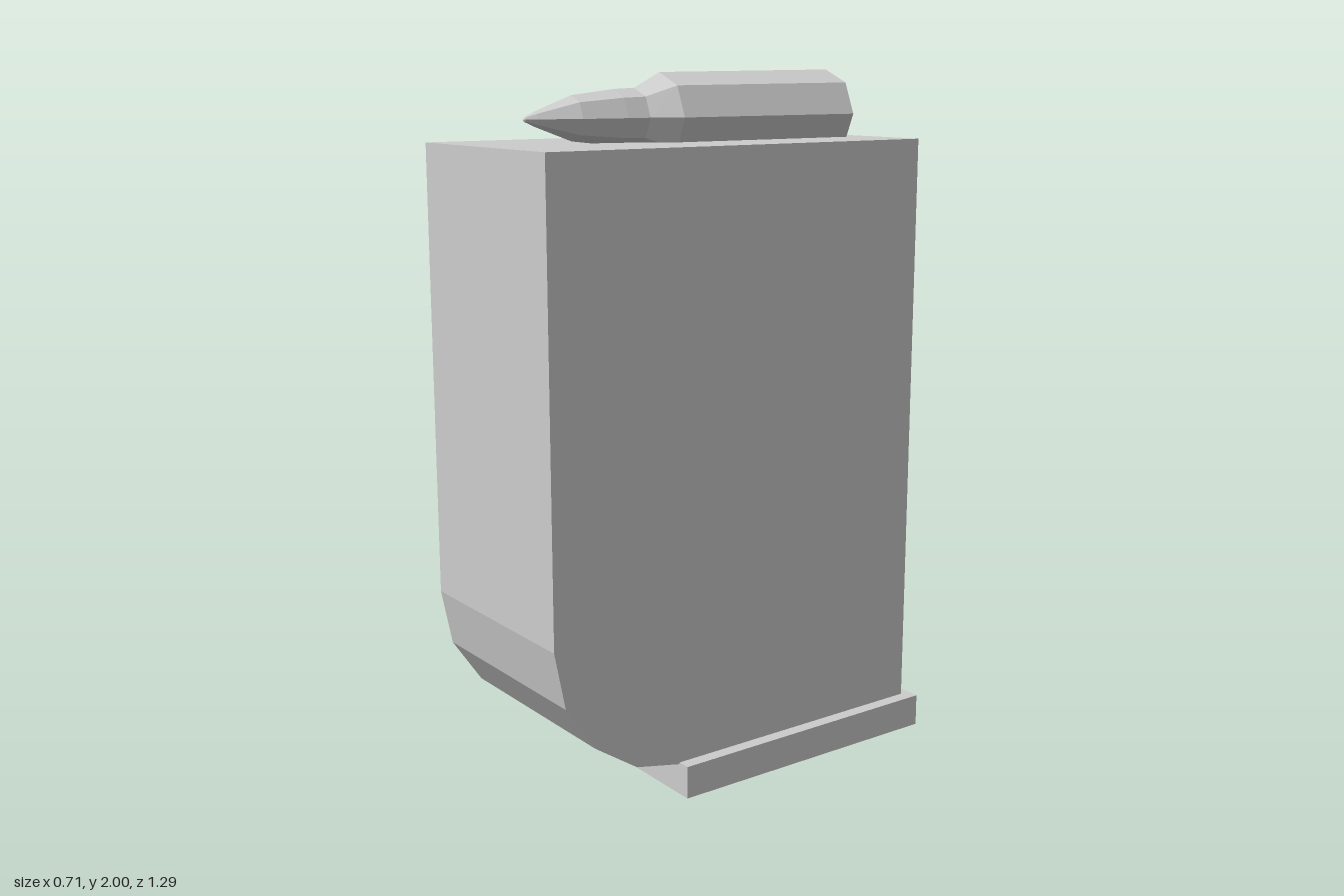
import * as THREE from 'three';

export function createModel() {
  const group = new THREE.Group();
  const grey = new THREE.MeshStandardMaterial({ color: 0xcccccc, flatShading: true });
  grey.name = 'light grey';

  const add = (name, geometry, x, y, z) => {
    const mesh = new THREE.Mesh(geometry, grey);
    mesh.name = name;
    mesh.position.set(x, y, z);
    group.add(mesh);
  };

  // Base plate, set back under the casing
  add('basePlate', new THREE.BoxGeometry(0.706, 0.095, 0.885), 0, 0.0475, -0.2025);

  // Casing: side outline (z, y) with a faceted curve at the lower front
  const outline = new THREE.Shape([
    [-0.615, 0.09], [0.24, 0.09], [0.385, 0.12], [0.52, 0.21],
    [0.612, 0.345], [0.645, 0.51], [0.645, 1.805], [-0.615, 1.805],
  ].map(([z, y]) => new THREE.Vector2(-z, y)));
  const width = 0.63;
  const casing = new THREE.ExtrudeGeometry(outline, { depth: width, bevelEnabled: false });
  casing.translate(0, 0, -width / 2).rotateY(Math.PI / 2);
  add('casing', casing, 0, 0, 0);

  // Eight-sided cartridge half sunk into the top, pointing forward (radius, z)
  const profile = [
    [0, -0.53], [0.127, -0.53], [0.121, 0.08], [0.079, 0.165],
    [0.076, 0.235], [0.061, 0.37], [0.02, 0.485], [0.007, 0.515], [0, 0.52],
  ].map(([r, z]) => new THREE.Vector2(r, z));
  const cartridge = new THREE.LatheGeometry(profile, 8).rotateX(Math.PI / 2);
  add('cartridge', cartridge, 0, 1.873, 0);

  return group;
}
